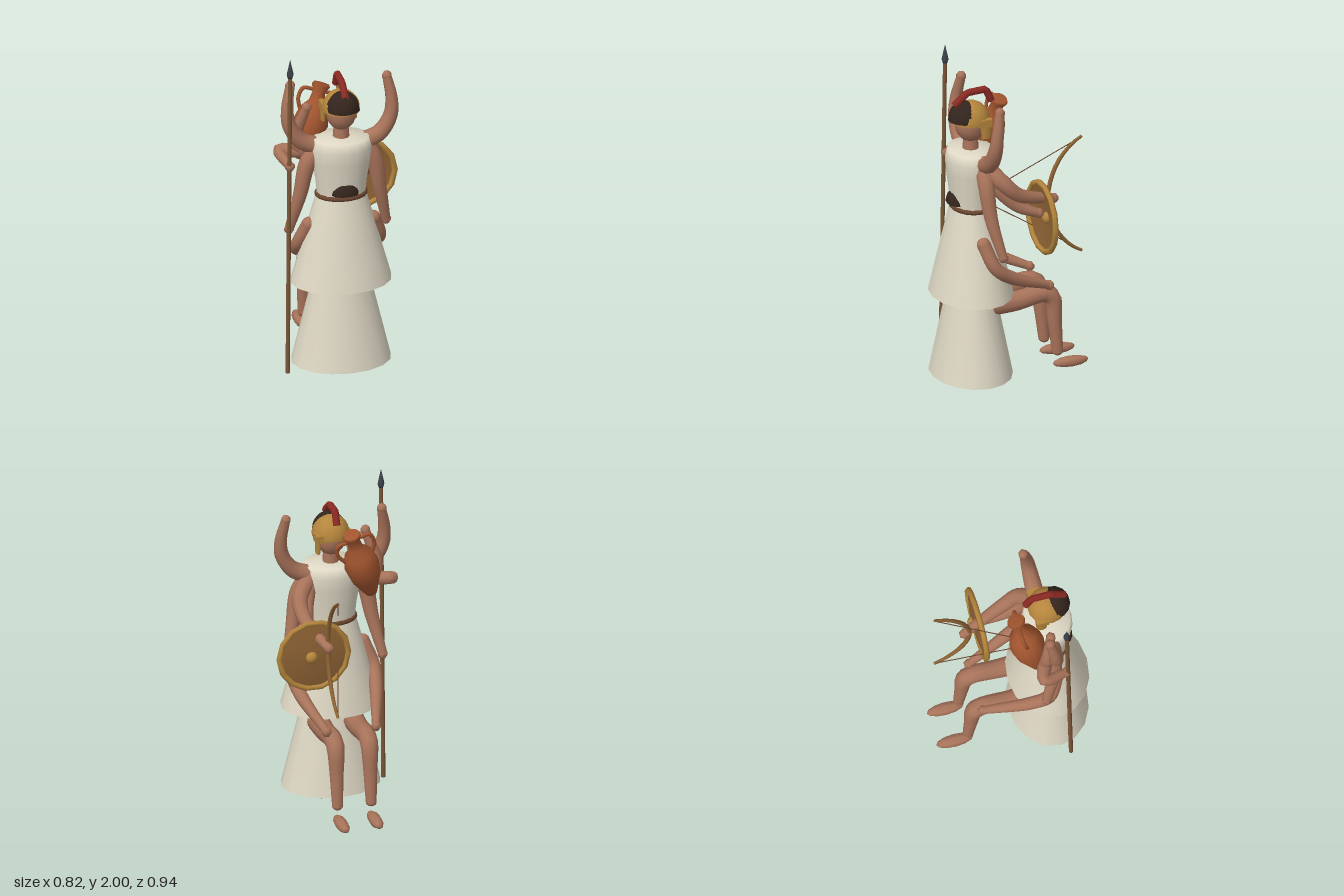
import * as THREE from 'three';

const CX = -0.03, CZ = 0.235; // body axis
const V = (p) => new THREE.Vector3(...p);
const mat = (color) => new THREE.MeshStandardMaterial({ color, side: THREE.DoubleSide });
const M = {
  skin: mat(0xa8735a), cloth: mat(0xded7c4), clay: mat(0xa2552f), gold: mat(0xb4853c), red: mat(0x8c2a24),
  hair: mat(0x33251d), wood: mat(0x7c5637), iron: mat(0x3d434b), belt: mat(0x6b4630), bow: mat(0x8d6234),
};

export function createModel() {
  const root = new THREE.Group();

  const add = (name, geo, material, pos = [0, 0, 0], scale = [1, 1, 1], parent = root) => {
    const m = new THREE.Mesh(geo, material);
    m.name = name;
    m.position.set(...pos);
    m.scale.set(...scale);
    parent.add(m);
    return m;
  };

  // Tube through points whose radius runs through a list of values
  const limb = (name, pts, radii, material = M.skin, sides = 10, parent = root) => {
    const curve = new THREE.CatmullRomCurve3(pts.map(V), false, 'centripetal');
    const N = 18;
    const geo = new THREE.TubeGeometry(curve, N, 1, sides, false);
    const p = geo.attributes.position;
    const c = new THREE.Vector3(), v = new THREE.Vector3();
    for (let i = 0; i <= N; i++) {
      curve.getPointAt(i / N, c);
      const t = (i / N) * (radii.length - 1), k = Math.min(Math.floor(t), radii.length - 2);
      const r = THREE.MathUtils.lerp(radii[k], radii[k + 1], t - k);
      for (let j = 0; j <= sides; j++) {
        const n = i * (sides + 1) + j;
        v.fromBufferAttribute(p, n).sub(c).multiplyScalar(r).add(c);
        p.setXYZ(n, v.x, v.y, v.z);
      }
    }
    return add(name, geo, material, [0, 0, 0], [1, 1, 1], parent);
  };

  // Straight rod between two points
  const rod = (name, a, b, r0, r1, material, sides = 8) => {
    const d = V(b).sub(V(a));
    const m = add(name, new THREE.CylinderGeometry(r1, r0, d.length(), sides), material,
      V(a).add(V(b)).multiplyScalar(0.5).toArray());
    m.quaternion.setFromUnitVectors(new THREE.Vector3(0, 1, 0), d.normalize());
    return m;
  };

  const lathe = (pts, sides) => new THREE.LatheGeometry(pts.map(([r, y]) => new THREE.Vector2(r, y)), sides);
  const mirrorX = (pts) => pts.map(([x, y, z]) => [2 * CX - x, y, z]);

  // Layered robe
  const robe = (name, pts) => add(name, lathe(pts, 16), M.cloth, [CX, 0, CZ], [1, 1, 0.8]);
  robe('lowerSkirt', [[0.298, 0.04], [0.175, 0.55], [0.14, 0.8]]);
  robe('upperSkirt', [[0.302, 0.55], [0.225, 0.83], [0.15, 1.1]]);
  robe('bodice', [[0.145, 1.1], [0.155, 1.2], [0.175, 1.32], [0.182, 1.4], [0.165, 1.46], [0.04, 1.465]]);
  const belt = add('belt', new THREE.TorusGeometry(0.143, 0.016, 8, 18), M.belt, [CX, 1.105, CZ], [1, 0.8, 1]);
  belt.rotation.x = Math.PI / 2;
  add('hairEnd', new THREE.SphereGeometry(0.08, 12, 8, 0, Math.PI * 2, 0, Math.PI / 2), M.hair,
    [CX, 1.13, 0.335], [1, 0.95, 0.6]);

  // Head, helmet and crest
  add('neck', new THREE.CylinderGeometry(0.042, 0.052, 0.12, 10), M.skin, [CX, 1.49, CZ]);
  add('head', new THREE.SphereGeometry(0.09, 14, 10), M.skin, [CX, 1.62, CZ], [1, 1.25, 1.05]);
  const dome = new THREE.SphereGeometry(0.115, 14, 8, 0, Math.PI * 2, 0, Math.PI / 2);
  add('helmet', dome, M.gold, [CX, 1.635, 0.235], [0.98, 1.08, 1.02]);
  add('hair', dome, M.hair, [CX, 1.65, 0.27], [0.87, 0.97, 0.88]);
  add('helmetBrow', new THREE.BoxGeometry(0.226, 0.045, 0.075), M.gold, [CX, 1.645, 0.18]);
  for (const s of [-1, 1])
    add('cheekGuard', new THREE.CylinderGeometry(0.04, 0.03, 0.12, 8), M.gold, [CX + s * 0.096, 1.61, 0.175], [0.42, 1, 1]);
  const crest = new THREE.CurvePath();
  const crestPts = [[CX, 1.745, 0.34], [CX, 1.815, 0.255], [CX, 1.82, 0.14], [CX, 1.745, 0.105]].map(V);
  for (let i = 0; i < 3; i++) crest.add(new THREE.LineCurve3(crestPts[i], crestPts[i + 1]));
  add('crest', new THREE.TubeGeometry(crest, 18, 0.022, 8), M.red);

  // Arms: each ends in a small faceted hand
  const arm = (name, pts, radii = [0.056, 0.043, 0.027]) => {
    const g = new THREE.Group();
    g.name = name;
    root.add(g);
    limb(name + 'Tube', pts, radii, M.skin, 10, g);
    add('shoulder', new THREE.SphereGeometry(radii[0], 10, 8), M.skin, pts[0], [1, 1, 1], g);
    add('hand', new THREE.SphereGeometry(0.031, 6, 5), M.skin, pts[pts.length - 1], [1, 1, 1], g);
  };
  const L = [0.1, 1.4, 0.21], R = [-0.16, 1.4, 0.21];
  const raised = [L, [0.21, 1.45, 0.21], [0.275, 1.55, 0.205], [0.285, 1.65, 0.195], [0.262, 1.79, 0.172]];
  const lowered = [L, [0.17, 1.3, 0.22], [0.21, 1.1, 0.205], [0.262, 0.86, 0.15]];
  const resting = [[0.165, 0.92, 0.235], [0.215, 0.78, 0.18], [0.2, 0.7, 0.08], [0.12, 0.57, -0.2]];
  for (const f of [(p) => p, mirrorX]) {
    arm('raisedArm', f(raised));
    arm('loweredArm', f(lowered));
    arm('kneeArm', f(resting), [0.042, 0.04, 0.024]);
  }
  arm('bowArm', [L, [0.19, 1.3, 0.12], [0.19, 1.21, 0.02], [0.115, 1.12, -0.23]]);
  arm('shieldArm', [L, [0.15, 1.25, 0.13], [0.17, 1.13, 0.02], [0.18, 1.07, -0.11]]);
  arm('spearArm', [R, [-0.28, 1.36, 0.15], [-0.375, 1.36, 0.12], [-0.345, 1.31, 0.26]], [0.055, 0.04, 0.026]);
  arm('jarArm', [R, [-0.26, 1.38, 0.16], [-0.285, 1.46, 0.165], [-0.23, 1.65, 0.2]], [0.055, 0.04, 0.026]);

  // Standing legs under the robe and the seated pair in front
  const legRadii = [0.066, 0.058, 0.055, 0.042, 0.033];
  for (const x of [CX - 0.1, CX + 0.105]) {
    limb('standingLeg', [[x, 0.9, CZ], [x, 0.5, CZ], [x, 0.07, 0.21]], [0.062, 0.058, 0.046, 0.034]);
    add('standingFoot', new THREE.SphereGeometry(1, 8, 6), M.skin, [x, 0.033, 0.15], [0.04, 0.027, 0.11]);
    limb('seatedLeg', [[x, 0.485, 0.14], [x, 0.485, -0.02], [x, 0.505, -0.19], [x, 0.47, -0.235], [x, 0.3, -0.255], [x, 0.12, -0.272]], legRadii);
    add('hip', new THREE.SphereGeometry(0.066, 10, 8), M.skin, [x, 0.485, 0.14], [1, 1, 0.7]);
    add('ankle', new THREE.SphereGeometry(0.033, 10, 8), M.skin, [x, 0.12, -0.272], [1, 0.8, 1]);
    const foot = add('seatedFoot', new THREE.SphereGeometry(1, 8, 6), M.skin, [x, 0.04, -0.355], [0.04, 0.112, 0.033]);
    foot.rotation.x = Math.PI / 2;
  }

  // Spear
  rod('spearShaft', [-0.365, 0, 0.285], [-0.345, 1.9, 0.265], 0.013, 0.013, M.wood);
  add('spearHead', lathe([[0, 0], [0.014, 0], [0.021, 0.025], [0, 0.12]], 8), M.iron, [-0.345, 1.88, 0.265]);

  // Round shield with rim and boss
  const shield = new THREE.Group();
  shield.name = 'shield';
  shield.position.set(0.178, 1.04, -0.13);
  root.add(shield);
  add('shieldRim', new THREE.TorusGeometry(0.21, 0.018, 6, 14), M.gold, [0, 0, 0], [1, 1, 1], shield);
  const disc = add('shieldDisc', lathe([[0, 0.026], [0.12, 0.018], [0.21, 0]], 14), M.bow, [0, 0, 0], [1, 1, 1], shield);
  disc.rotation.x = -Math.PI / 2;
  add('shieldBoss', new THREE.SphereGeometry(0.036, 10, 8), M.gold, [0.02, 0, -0.025], [1, 1, 0.85], shield);

  // Bow with a drawn string
  const bx = 0.112;
  limb('bow', [[bx, 1.485, -0.41], [bx, 1.44, -0.34], [bx, 1.32, -0.245], [bx, 1.12, -0.195],
    [bx, 0.92, -0.245], [bx, 0.8, -0.34], [bx, 0.755, -0.41]], [0.009, 0.013, 0.014, 0.013, 0.009], M.bow, 8);
  for (const y of [1.475, 0.765]) rod('bowString', [0.108, y, -0.4], [-0.06, 1.12, 0.18], 0.003, 0.003, M.belt, 5);

  // Two-handled jar carried at the shoulder
  const jar = new THREE.Group();
  jar.name = 'jar';
  const base = V([-0.245, 1.28, 0.115]), mouth = V([-0.095, 1.715, 0.025]);
  jar.position.copy(base);
  jar.quaternion.setFromUnitVectors(new THREE.Vector3(0, 1, 0), mouth.sub(base).normalize());
  root.add(jar);
  add('jarBody', lathe([[0, 0], [0.035, 0.005], [0.05, 0.04], [0.088, 0.13], [0.105, 0.23], [0.085, 0.31],
    [0.045, 0.36], [0.038, 0.42], [0.055, 0.455], [0.048, 0.47], [0, 0.465]], 14), M.clay, [0, 0, 0], [1, 1, 1], jar);
  for (const s of [-1, 1])
    limb('jarHandle', [[s * 0.042, 0.425, 0], [s * 0.1, 0.42, 0], [s * 0.115, 0.36, 0], [s * 0.085, 0.29, 0]],
      [0.012, 0.012], M.clay, 6, jar);

  return root;
}
